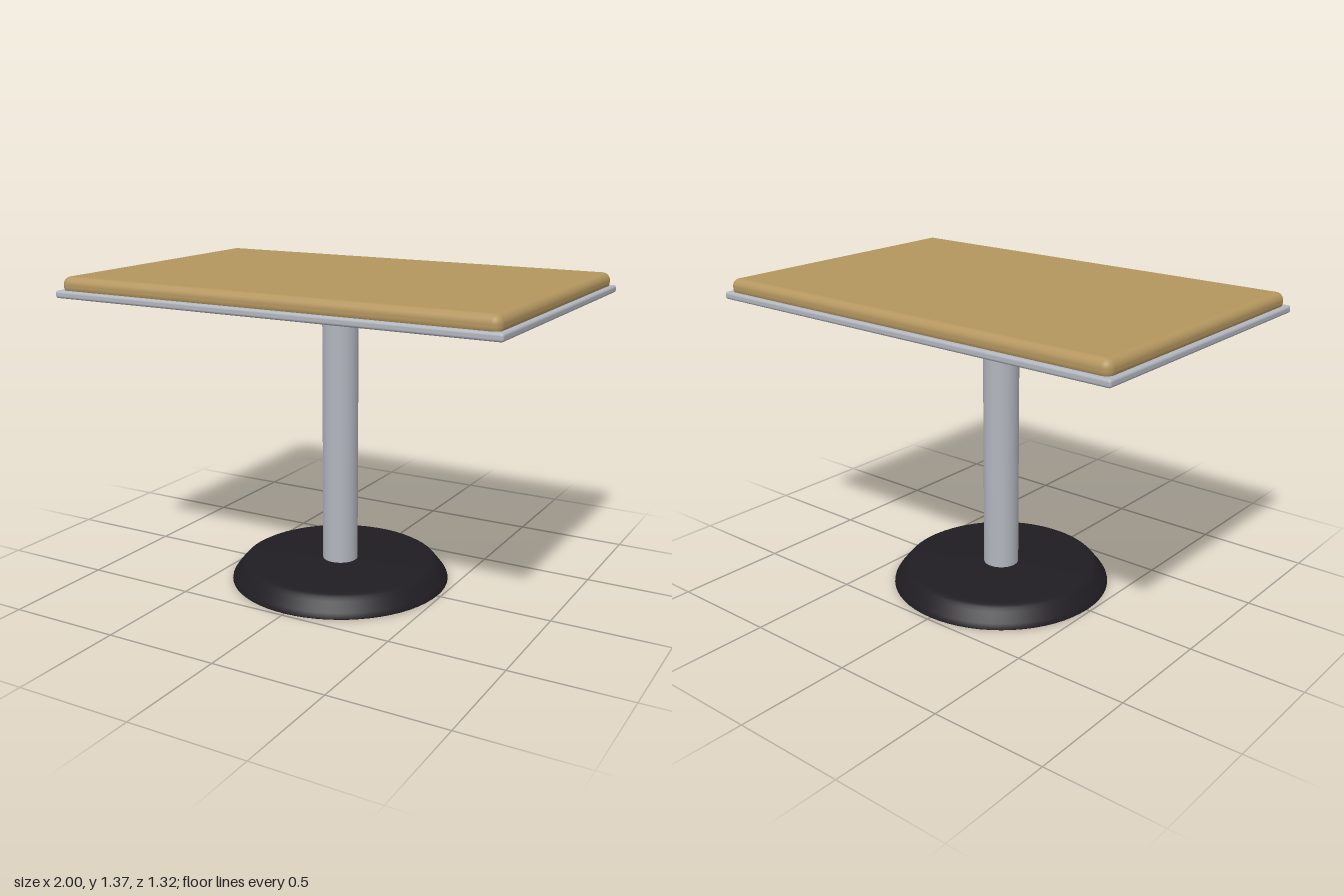
import * as THREE from 'three';
import { RoundedBoxGeometry } from 'three/addons/geometries/RoundedBoxGeometry.js';
import { toCreasedNormals } from 'three/addons/utils/BufferGeometryUtils.js';

const paint = (color) => new THREE.MeshStandardMaterial({ color });

export function createModel() {
  const model = new THREE.Group();
  model.name = 'pedestalTable';
  const wood = paint(0xb4965f);
  const metal = paint(0xb2b6be);
  const black = paint(0x201d22);

  const add = (name, geometry, material, y = 0) => {
    const mesh = new THREE.Mesh(geometry, material);
    mesh.name = name;
    mesh.position.y = y;
    model.add(mesh);
  };

  // Solid of revolution with sharp edges kept; profile runs bottom to top
  const turned = (profile) => toCreasedNormals(
    new THREE.LatheGeometry(profile.map(([r, y]) => new THREE.Vector2(r, y)), 64),
    Math.PI / 5
  );

  // Round foot with a sloping, softened rim
  add('base', turned([
    [0, 0], [0.482, 0], [0.487, 0.004], [0.485, 0.014], [0.477, 0.027], [0.446, 0.066],
    [0.434, 0.079], [0.42, 0.087], [0.4, 0.09], [0, 0.09],
  ]), black);

  // Column running from the foot to the underside of the top
  add('column', new THREE.CylinderGeometry(0.078, 0.078, 1.21, 64), metal, 0.685);

  // Collar with rounded edges just below the top
  const collar = [[0, 1.21]];
  const r = 0.018;
  for (const [cy, start] of [[1.21 + r, -Math.PI / 2], [1.262 - r, 0]]) {
    for (let i = 0; i <= 5; i++) {
      const a = start + (i / 5) * Math.PI / 2;
      collar.push([0.178 - r + r * Math.cos(a), cy + r * Math.sin(a)]);
    }
  }
  collar.push([0, 1.262]);
  add('collar', turned(collar), metal);

  // Thin metal tray and the rounded wooden top resting in it
  add('tray', new RoundedBoxGeometry(2, 0.032, 1.32, 4, 0.011), metal, 1.297);
  add('tableTop', new RoundedBoxGeometry(1.964, 0.076, 1.286, 6, 0.034), wood, 1.332);

  return model;
}
